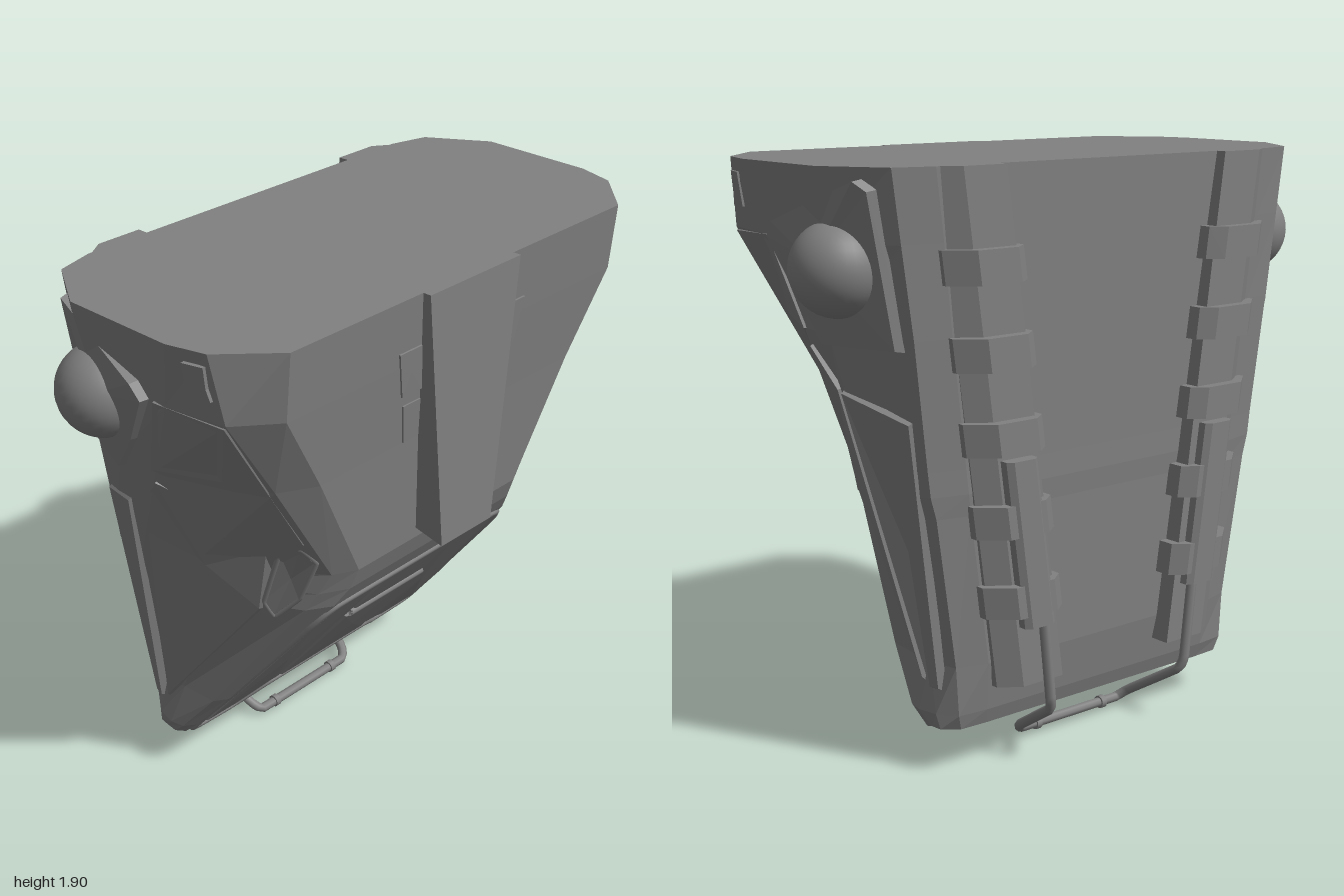
import * as THREE from 'three';

const mat = new THREE.MeshStandardMaterial({ color: 0x808080, flatShading: true });
const smooth = new THREE.MeshStandardMaterial({ color: 0x808080 });
const V = (x, y, z) => new THREE.Vector3(x, y, z);

function add(parent, name, geometry, material = mat) {
  const mesh = new THREE.Mesh(geometry, material);
  mesh.name = name;
  parent.add(mesh);
  return mesh;
}

function fromTriangles(points) {
  const g = new THREE.BufferGeometry().setFromPoints(points);
  g.computeVertexNormals();
  return g;
}

// Closed solid through rings of points, bottom to top, counter-clockwise from above
function loft(rings) {
  const t = [], n = rings[0].length;
  const centre = r => r.reduce((s, p) => s.add(p), V(0, 0, 0)).divideScalar(n);
  const low = rings[0], high = rings[rings.length - 1];
  const cl = centre(low), ch = centre(high);
  for (let i = 0; i < n; i++) {
    const j = (i + 1) % n;
    for (let k = 0; k < rings.length - 1; k++) {
      const a = rings[k], b = rings[k + 1];
      t.push(a[i], a[j], b[j], a[i], b[j], b[i]);
    }
    t.push(cl, low[j], low[i], ch, high[i], high[j]);
  }
  return fromTriangles(t);
}

// Polyline tube with slightly rounded corners
function tube(points, radius, closed = false) {
  const curve = new THREE.CatmullRomCurve3(points, closed, 'catmullrom', 0.08);
  return new THREE.TubeGeometry(curve, 80, radius, 8, closed);
}

// Half section: front edge, chamfer, side front, side back, back corner, back inner
function hullRing(y, half) {
  const [fx, fz] = half[0];
  const right = [[fx * 0.43, fz], [fx * 0.62, fz], ...half].map(([x, z]) => V(x, y, z));
  if (y < 0.16) { // arched lower lip
    right[0].set(0.26, 0.18, -0.185);
    right[1].set(0.36, 0.105, -0.255);
    right[2].y = 0.13;
    right[3].y = 0.14;
  }
  return [...right, ...right.map(p => V(-p.x, p.y, p.z)).reverse()];
}

export function createModel() {
  const model = new THREE.Group();
  model.name = 'armouredPack';

  // Main shell
  const hull = add(model, 'shell', loft([
    hullRing(0.15, [[0.58, -0.24], [0.61, -0.26], [0.615, -0.29], [0.61, -0.33], [0.56, -0.37], [0.46, -0.375]]),
    hullRing(0.2, [[0.585, -0.17], [0.625, -0.2], [0.635, -0.25], [0.62, -0.32], [0.575, -0.38], [0.47, -0.39]]),
    hullRing(0.36, [[0.55, -0.04], [0.595, -0.07], [0.605, -0.2], [0.61, -0.28], [0.585, -0.38], [0.48, -0.41]]),
    hullRing(0.85, [[0.42, 0.33], [0.5, 0.28], [0.655, 0], [0.725, -0.2], [0.66, -0.39], [0.55, -0.415]]),
    hullRing(0.92, [[0.39, 0.37], [0.48, 0.32], [0.68, -0.01], [0.745, -0.185], [0.68, -0.39], [0.56, -0.42]]),
    hullRing(1.0, [[0.38, 0.4], [0.46, 0.36], [0.7, 0], [0.765, -0.17], [0.69, -0.39], [0.57, -0.42]]),
    hullRing(1.4, [[0.58, 0.435], [0.7, 0.37], [0.845, 0.02], [0.855, -0.13], [0.74, -0.4], [0.62, -0.425]]),
    hullRing(1.68, [[0.74, 0.465], [0.87, 0.36], [0.905, 0.15], [0.9, -0.18], [0.78, -0.4], [0.65, -0.43]]),
    hullRing(1.9, [[0.74, 0.485], [0.9, 0.33], [0.935, 0.2], [0.935, -0.2], [0.81, -0.4], [0.68, -0.435]]),
  ]));

  // Points on the shell, found from the side or the front
  const ray = new THREE.Raycaster();
  const surface = (from, dir) => {
    ray.set(from, dir);
    const hit = ray.intersectObject(hull)[0];
    return hit ? hit.point : from.clone().addScaledVector(dir, 2.3);
  };
  const onSide = ([z, y]) => surface(V(3, y, z), V(-1, 0, 0));
  const onFront = ([x, y]) => surface(V(x, y, 3), V(0, 0, -1));

  // Bevelled plate that follows the shell
  function plate(parent, name, outline, side, thickness) {
    const dir = side ? V(1, 0, 0) : V(0, 0, 1);
    const place = side ? onSide : onFront;
    const flat = outline.map(([u, v]) => new THREE.Vector2(side ? -u : u, v));
    const pts = THREE.ShapeUtils.area(flat) < 0 ? [...outline].reverse() : outline;
    const n = pts.length;
    const mid = [0, 1].map(k => pts.reduce((s, p) => s + p[k], 0) / n);
    const inset = pts.map(p => p.map((c, k) => c + (mid[k] - c) * 0.04));
    const base = pts.map(p => place(p).addScaledVector(dir, -0.02));
    const top = inset.map(p => place(p).addScaledVector(dir, thickness));
    const c = place(mid).addScaledVector(dir, thickness);
    const t = [];
    for (let i = 0; i < n; i++) {
      const j = (i + 1) % n;
      t.push(base[i], base[j], top[j], base[i], top[j], top[i], c, top[i], top[j]);
    }
    return add(parent, name, fromTriangles(t));
  }

  // Tapered plate down the front
  const plateRing = (y, x, back, rise) => [V(-x, y, 0.513), V(x, y, 0.513), V(x, y + rise, back), V(-x, y + rise, back)];
  add(model, 'frontPlate', loft([plateRing(1.015, 0.12, 0.39, 0.025), plateRing(1.9, 0.205, 0.47, 0)]));

  // Middle of the lower front
  plate(model, 'upperCentrePanel', [[-0.165, 0.83], [0.165, 0.83], [0.18, 0.65], [-0.18, 0.65]], false, 0.012);
  plate(model, 'lowerCentrePanel', [[-0.185, 0.61], [0.185, 0.61], [0.215, 0.22], [-0.215, 0.22]], false, 0.012);
  add(model, 'crossbar', tube([V(-0.18, 0.63, 0.17), V(0.18, 0.63, 0.17)], 0.015), smooth);

  // Rim around the lower front
  const rim = [[0.25, 0.2], [0.36, 0.13], [0.565, 0.15], [0.45, 0.74], [0.425, 0.81], [0.38, 0.84]];
  const rimPath = [...rim, ...rim.map(([x, y]) => [-x, y]).reverse()].map(onFront);
  add(model, 'lowerRim', tube(rimPath, 0.012, true), smooth);

  // Parts repeated on both sides
  const half = new THREE.Group();
  half.name = 'leftParts';

  plate(half, 'lowerFrontPanel', [[0.18, 0.825], [0.38, 0.825], [0.42, 0.74], [0.545, 0.18], [0.38, 0.16],
    [0.27, 0.225], [0.225, 0.225]], false, 0.008);
  plate(half, 'frontVent', [[0.19, 1.73], [0.29, 1.73], [0.26, 1.57], [0.17, 1.57]], false, 0.006);
  plate(half, 'frontVentLower', [[0.17, 1.54], [0.25, 1.54], [0.23, 1.4], [0.16, 1.4]], false, 0.005);

  // Side armour panels
  plate(half, 'rearSidePanel', [[-0.14, 1.24], [-0.36, 1.16], [-0.335, 0.27], [-0.3, 0.27]], true, 0.014);
  plate(half, 'middleSidePanel', [[0, 1.36], [-0.1, 1.23], [-0.275, 0.28], [0.16, 0.83], [0.23, 1.1], [0.2, 1.2]], true, 0.012);
  plate(half, 'upperSidePanel', [[0.36, 1.68], [0.1, 1.69], [0, 1.4], [0.32, 1.14], [0.35, 1.14]], true, 0.008);
  plate(half, 'sideHatch', [[0.32, 1.79], [0.32, 1.86], [0.25, 1.86], [0.25, 1.75], [0.33, 1.75]], true, 0.008);
  const notch = [[0.32, 1.12], [0.25, 1.09], [0.17, 0.87], [0.19, 0.81], [0.27, 0.9], [0.34, 1.06]];
  plate(half, 'sideNotch', notch, true, 0.008);
  add(half, 'sideNotchFrame', tube(notch.map(onSide), 0.01, true), smooth);

  // Lamp and its mount
  const mount = [[0.085, 1.68], [0.05, 1.73], [-0.32, 1.87], [-0.355, 1.84], [-0.37, 1.36], [-0.12, 1.36], [-0.02, 1.5]];
  plate(half, 'lampMount', mount, true, 0.03);
  const lamp = add(half, 'lamp', new THREE.SphereGeometry(0.146, 32, 20), smooth);
  lamp.position.set(0.854, 1.6, -0.185);

  // Rail on the back, with clips
  const railX = y => 0.23 + (y - 0.28) * 0.136;
  const section = (y, pts) => pts.map(([x, z]) => V(railX(y) + x, y, z));
  const bar = (name, y0, y1, pts) => add(half, name, loft([section(y0, pts), section(y1, pts)]));
  bar('backRail', 0.28, 1.9, [[0, -0.36], [0.23, -0.36], [0.23, -0.425], [0.16, -0.472], [0, -0.472]]);
  for (let i = 0; i < 5; i++) {
    const y = 1.61 - i * 0.26;
    bar('railClip', y - 0.052, y + 0.052,
      [[-0.03, -0.39], [0.25, -0.39], [0.25, -0.44], [0.17, -0.508], [0.02, -0.508], [-0.03, -0.47]]);
  }
  bar('railCover', 0.48, 1.02, [[0.03, -0.44], [0.15, -0.44], [0.15, -0.5], [0.13, -0.515], [0.05, -0.515], [0.03, -0.5]]);

  // Handle sleeve
  const sleeve = add(half, 'handleSleeve', new THREE.CylinderGeometry(0.022, 0.022, 0.02, 12), smooth);
  sleeve.rotation.z = Math.PI / 2;
  sleeve.position.set(0.145, 0.022, -0.24);

  const other = half.clone();
  other.name = 'rightParts';
  other.scale.x = -1;
  model.add(half, other);

  // Bent carrying handle below
  const arm = [V(0.325, 0.5, -0.49), V(0.295, 0.22, -0.49), V(0.285, 0.18, -0.475), V(0.24, 0.05, -0.27), V(0.21, 0.022, -0.24)];
  const handle = [...arm, ...arm.map(p => V(-p.x, p.y, p.z)).reverse()];
  add(model, 'handle', tube(handle, 0.017), smooth);

  return model;
}
